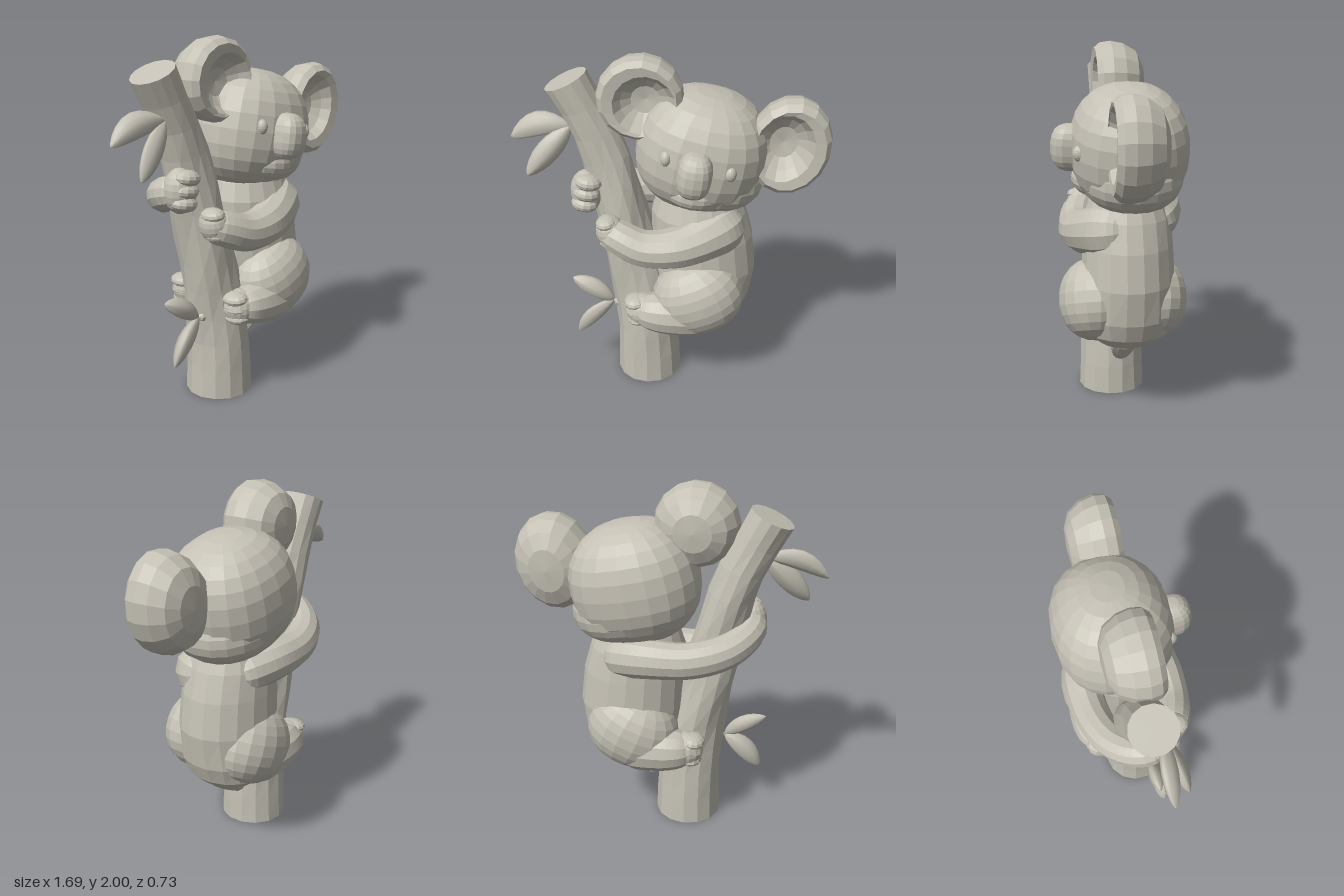
import * as THREE from 'three';

const clay = new THREE.MeshStandardMaterial({ color: 0xc4c0b4 });
clay.name = 'warm grey clay';

const V = (a) => new THREE.Vector3(a[0], a[1], a[2]);

// Move every vertex of a geometry by a rule
function warp(geo, rule) {
  const p = geo.attributes.position;
  const v = new THREE.Vector3();
  for (let i = 0; i < p.count; i++) {
    v.fromBufferAttribute(p, i);
    rule(v, i);
    p.setXYZ(i, v.x, v.y, v.z);
  }
  geo.computeVertexNormals();
  return geo;
}

// Split faces for a carved, faceted look
function facet(geo) {
  const g = geo.toNonIndexed();
  g.computeVertexNormals();
  return g;
}

function part(parent, name, geo) {
  const m = new THREE.Mesh(geo, clay);
  m.name = name;
  parent.add(m);
  return m;
}

// Ellipsoid; power below 1 makes it boxier
function blob(parent, name, pos, radii, rotZ = 0, power = 1, seg = 16) {
  const soft = (n) => Math.sign(n) * Math.pow(Math.abs(n), power);
  const geo = warp(new THREE.SphereGeometry(1, seg, Math.round(seg * 0.7)), (v) => {
    v.set(soft(v.x) * radii[0], soft(v.y) * radii[1], soft(v.z) * radii[2]);
  });
  const m = part(parent, name, facet(geo));
  m.position.set(...pos);
  m.rotation.z = rotZ;
}

// Rounded limb through points [x, y, z, radius]
function limb(parent, name, pts, sides = 12, segs = 28) {
  const curve = new THREE.CatmullRomCurve3(pts.map(V));
  const len = curve.getLength();
  const radius = (u) => {
    const f = u * (pts.length - 1);
    const i = Math.min(Math.floor(f), pts.length - 2);
    const r = THREE.MathUtils.lerp(pts[i][3], pts[i + 1][3], f - i);
    const d = Math.min(1, (Math.min(u, 1 - u) * len) / r);
    return r * Math.sqrt(Math.max(0.0004, 1 - (1 - d) ** 2));
  };
  const geo = warp(new THREE.TubeGeometry(curve, segs, 1, sides), (v, i) => {
    const u = Math.floor(i / (sides + 1)) / segs;
    const c = curve.getPointAt(u);
    v.sub(c).multiplyScalar(radius(u)).add(c);
  });
  part(parent, name, facet(geo));
}

// Leaf with pointed ends and a midrib ridge, from base to tip
function leaf(parent, base, tip, width, bend, roll) {
  const a = V(base), b = V(tip), half = a.distanceTo(b) / 2;
  const geo = warp(new THREE.SphereGeometry(1, 12, 10), (v) => {
    const t = v.y, w = Math.pow(Math.max(0, 1 - t * t), 0.7);
    const s = Math.sqrt(Math.max(1e-6, 1 - t * t));
    const across = v.x / s, out = v.z / s;
    v.set(across * w * width, t * half,
      out * w * 0.034 + Math.sign(out) * 0.012 * w * Math.max(0, 1 - 3 * Math.abs(across)));
  });
  geo.rotateY(roll);
  warp(geo, (v) => { v.x += bend * (1 - (v.y / half) ** 2); });
  const m = part(parent, 'leaf', geo);
  m.position.copy(a).lerp(b, 0.5);
  m.quaternion.setFromUnitVectors(new THREE.Vector3(0, 1, 0), b.clone().sub(a).normalize());
}

function makeTrunk(parent) {
  const path = new THREE.CatmullRomCurve3([
    [-0.127, 0, 0.015], [-0.132, 0.3, 0.015], [-0.172, 0.62, 0.01], [-0.24, 0.95, 0],
    [-0.307, 1.25, -0.01], [-0.385, 1.52, -0.02], [-0.545, 1.845, -0.02],
  ].map(V));
  const geo = warp(new THREE.CylinderGeometry(1, 1, 1, 14, 12), (v) => {
    const t = v.y + 0.5, c = path.getPointAt(t), tilt = 0.42 * t * t;
    const knob = Math.max(0, t - 0.9) * 0.12;
    const ang = Math.atan2(v.z, v.x);
    const r = 0.189 - 0.08 * t + knob + 0.007 * Math.sin(ang * 3 + t * 17) * Math.sin(Math.PI * t);
    v.set(c.x + v.x * r * Math.cos(tilt), c.y + v.x * r * Math.sin(tilt), c.z + v.z * r);
  });
  part(parent, 'trunk', facet(geo));
}

function makeBody(parent) {
  // Rows: height, centre x, half width, half depth
  const rows = [
    [0.375, 0.2, 0.05, 0.06], [0.395, 0.2, 0.14, 0.16], [0.46, 0.195, 0.22, 0.24],
    [0.56, 0.19, 0.267, 0.265], [0.75, 0.19, 0.295, 0.255], [0.95, 0.175, 0.285, 0.245],
    [1.1, 0.155, 0.262, 0.235], [1.2, 0.15, 0.225, 0.2], [1.32, 0.15, 0.15, 0.15],
  ];
  const geo = warp(new THREE.CylinderGeometry(1, 1, 1, 18, rows.length - 1), (v) => {
    const [y, cx, rx, rz] = rows[Math.round((v.y + 0.5) * (rows.length - 1))];
    v.set(cx + v.x * rx, y, -0.035 + v.z * rz);
  });
  part(parent, 'body', facet(geo));
}

// Cupped ear: domed back, thick rounded rim, hollow shifted toward the head
function makeEar(parent, name, pos, sx, sy, rotZ, shift) {
  const profile = [
    [0.001, -0.168], [0.1, -0.158], [0.17, -0.122], [0.212, -0.05], [0.225, 0.02],
    [0.217, 0.075], [0.19, 0.106], [0.16, 0.1], [0.125, 0.05], [0.075, 0.012], [0.001, 0],
  ].map((p) => new THREE.Vector2(p[0], p[1]));
  const geo = new THREE.LatheGeometry(profile, 16);
  geo.rotateX(Math.PI / 2);
  warp(geo, (v, i) => {
    const inner = i % profile.length > 6 ? 1 : 0;
    v.set((v.x + inner * shift[0]) * sx, (v.y + inner * shift[1]) * sy, v.z);
  });
  const m = part(parent, name, facet(geo));
  m.position.set(...pos);
  m.rotation.z = rotZ;
}

function makeHead(parent) {
  const head = new THREE.Group();
  head.name = 'head';
  parent.add(head);
  blob(head, 'skull', [0.163, 1.465, -0.042], [0.352, 0.333, 0.315], -0.2, 0.87, 20);
  blob(head, 'jaw', [0.187, 1.335, -0.048], [0.322, 0.192, 0.278], -0.2, 0.92, 20);
  blob(head, 'muzzle', [0.13, 1.3, 0.12], [0.16, 0.1, 0.145], -0.15);
  blob(head, 'nose', [0.138, 1.465, 0.265], [0.092, 0.125, 0.108], -0.12, 0.78);
  blob(head, 'rightEye', [-0.01, 1.53, 0.222], [0.03, 0.042, 0.035]);
  blob(head, 'leftEye', [0.32, 1.46, 0.235], [0.032, 0.042, 0.035]);
  makeEar(head, 'rightEar', [-0.155, 1.775, 0], 1.02, 1.0, 0.3, [0.018, -0.025]);
  makeEar(head, 'leftEar', [0.62, 1.527, 0], 0.98, 1.2, -0.2, [-0.03, 0.005]);
}

function makeArms(parent) {
  limb(parent, 'rightArm', [
    [0.36, 1.06, -0.04, 0.13], [0.24, 1.03, 0.1, 0.15], [0.06, 0.985, 0.2, 0.123],
    [-0.13, 0.975, 0.215, 0.107], [-0.26, 1.02, 0.19, 0.1], [-0.36, 1.055, 0.14, 0.09],
  ]);
  blob(parent, 'rightHand', [-0.315, 1.05, 0.17], [0.08, 0.095, 0.085], 0.2);
  for (let i = 0; i < 3; i++) {
    blob(parent, 'rightFinger', [-0.335 + 0.008 * i, 1.11 - i * 0.055, 0.18],
      [0.058, 0.036, 0.07], 0.15, 1, 12);
  }
  limb(parent, 'leftArm', [
    [0.3, 1.06, -0.13, 0.12], [0.08, 1.1, -0.235, 0.112], [-0.16, 1.11, -0.24, 0.1],
    [-0.35, 1.15, -0.17, 0.097], [-0.455, 1.21, -0.04, 0.09], [-0.45, 1.24, 0.08, 0.085],
  ]);
  blob(parent, 'leftHand', [-0.45, 1.24, 0.06], [0.09, 0.122, 0.085]);
  for (let i = 0; i < 3; i++) {
    blob(parent, 'leftFinger', [-0.435 - 0.012 * i, 1.31 - i * 0.065, 0.1],
      [0.075, 0.044, 0.065], -0.15, 1, 12);
  }
}

// Both legs mirror across the body
function makeLegs(parent) {
  for (const side of [1, -1]) {
    const z = (d) => -0.01 + side * d;
    const name = side > 0 ? 'right' : 'left';
    blob(parent, name + 'Thigh', [0.165, 0.625, z(0.15)], [0.26, 0.228, 0.203], 0.4, 0.94, 18);
    limb(parent, name + 'Shin', [
      [0.25, 0.53, z(0.11), 0.14], [0.12, 0.535, z(0.185), 0.145],
      [-0.03, 0.54, z(0.215), 0.122], [-0.2, 0.55, z(0.2), 0.09],
    ]);
    blob(parent, name + 'Foot', [-0.14, 0.545, z(0.2)], [0.1, 0.1, 0.095]);
    for (let i = 0; i < 3; i++) {
      blob(parent, name + 'Toe', [-0.185 + 0.008 * i, 0.605 - i * 0.056, z(0.205)],
        [0.065, 0.037, 0.078], 0.1, 1, 12);
    }
  }
}

function makeLeaves(parent) {
  const sprigs = [
    { hub: [-0.52, 1.61, 0.04], root: [-0.42, 1.55, 0],
      leaves: [[[-0.85, 1.525, 0.015], 0.066, 0.045, 0.4], [[-0.755, 1.35, 0.12], 0.064, 0.005, 0.5]] },
    { hub: [-0.33, 0.5, 0.06], root: [-0.22, 0.48, 0.05],
      leaves: [[[-0.565, 0.645, 0.05], 0.055, 0.012, 0.3], [[-0.54, 0.28, 0.09], 0.058, 0.02, -0.3]] },
  ];
  for (const s of sprigs) {
    limb(parent, 'twig', [[...s.root, 0.035], [...s.hub, 0.028]], 8, 8);
    for (const [tip, width, bend, roll] of s.leaves) leaf(parent, s.hub, tip, width, bend, roll);
  }
}

export function createModel() {
  const model = new THREE.Group();
  model.name = 'koalaOnBranch';
  makeTrunk(model);
  makeBody(model);
  makeHead(model);
  makeArms(model);
  makeLegs(model);
  makeLeaves(model);
  limb(model, 'tail', [[0.3, 0.47, -0.01, 0.085], [0.18, 0.36, -0.01, 0.07], [0.04, 0.245, -0.01, 0.045]]);
  return model;
}
